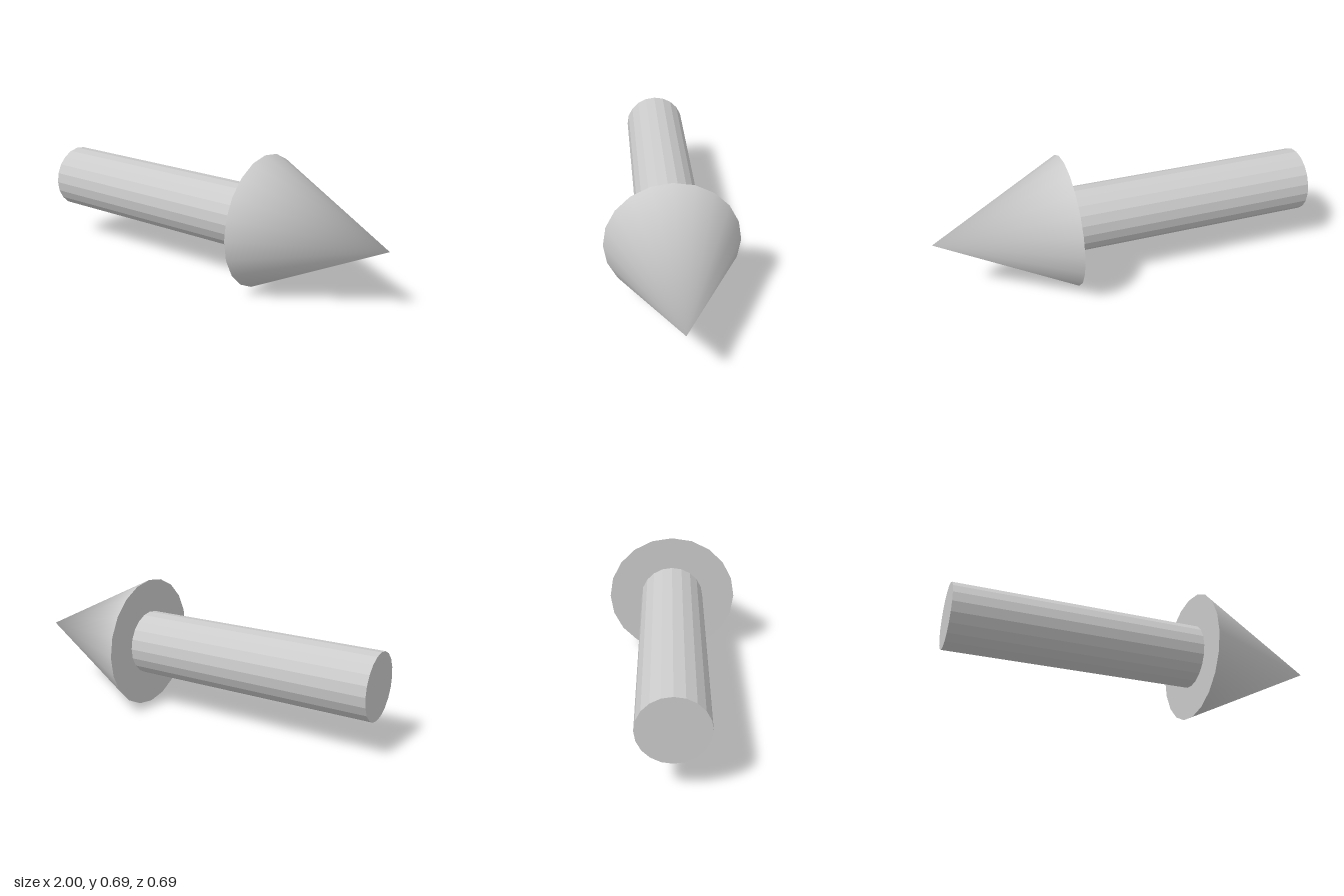
import * as THREE from 'three';
import { mergeVertices } from 'three/addons/utils/BufferGeometryUtils.js';

const SIDES = 20;
const AXIS_Y = 0.344;
const BASE_X = 0.31; // where the shaft meets the head
const HEAD_R = 0.344;
const SHAFT_R = 0.169;

export function createModel() {
  const group = new THREE.Group();
  group.name = 'arrow';
  const smooth = new THREE.MeshStandardMaterial({ color: 0xcccccc });
  const flat = new THREE.MeshStandardMaterial({ color: 0xcccccc, flatShading: true });

  const add = (name, geometry, material, x) => {
    const mesh = new THREE.Mesh(geometry, material);
    mesh.name = name;
    mesh.position.set(x, AXIS_Y, 0);
    group.add(mesh);
  };

  // Faceted shaft along x
  const shaftLength = BASE_X + 1;
  const shaft = new THREE.CylinderGeometry(SHAFT_R, SHAFT_R, shaftLength, SIDES);
  shaft.rotateZ(-Math.PI / 2);
  add('shaft', shaft, flat, -1 + shaftLength / 2);

  // Smooth head whose side normals blend into a single tip normal
  const headLength = 1 - BASE_X;
  let head = new THREE.ConeGeometry(HEAD_R, headLength, SIDES, 1, true);
  head.rotateZ(-Math.PI / 2);
  head.deleteAttribute('normal');
  head.deleteAttribute('uv');
  head = mergeVertices(head);
  head.computeVertexNormals();
  add('head', head, smooth, BASE_X + headLength / 2);

  // Flat back of the head, facing -x, corners aligned with the cone
  const back = new THREE.CircleGeometry(HEAD_R, SIDES);
  back.rotateY(-Math.PI / 2);
  add('headBack', back, flat, BASE_X);

  return group;
}
